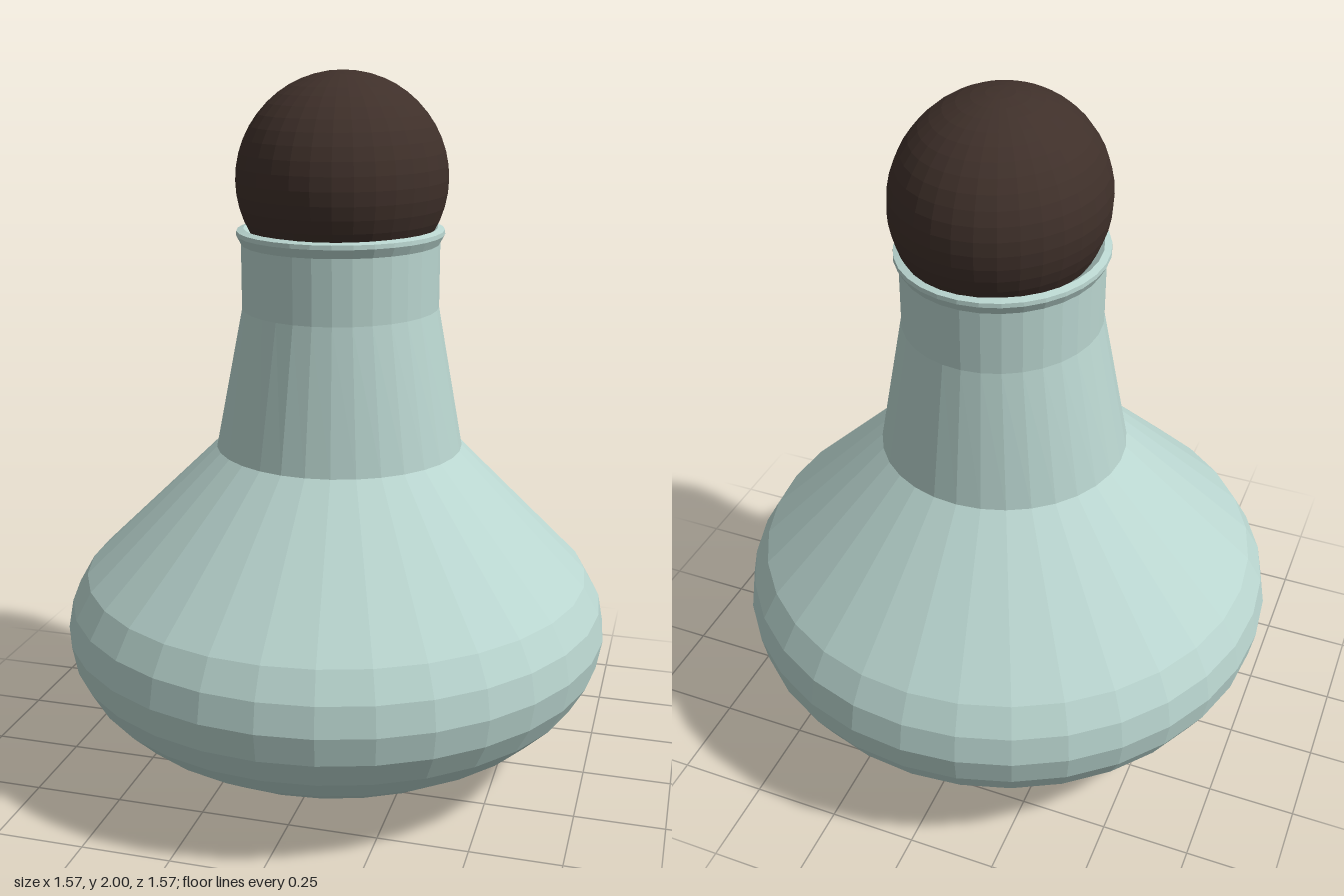
import * as THREE from 'three';

const SIDES = 32;

// Lathe whose upper rings drift off axis and widen slightly front to back.
function flaskPart(name, points, material) {
  const geometry = new THREE.LatheGeometry(points.map(([r, y]) => new THREE.Vector2(r, y)), SIDES);
  const pos = geometry.attributes.position;
  for (let i = 0; i < pos.count; i++) {
    const y = pos.getY(i);
    const drift = THREE.MathUtils.clamp((y - 0.586) / 0.369, 0, 1);
    const widen = THREE.MathUtils.clamp((y - 0.955) / 0.4, 0, 1);
    pos.setX(i, pos.getX(i) + 0.006 * drift + 0.004 * widen);
    pos.setZ(i, pos.getZ(i) * (1 + 0.07 * widen) - 0.01 * drift);
  }
  geometry.computeVertexNormals();
  const mesh = new THREE.Mesh(geometry, material);
  mesh.name = name;
  return mesh;
}

export function createModel() {
  const group = new THREE.Group();
  group.name = 'stopperedFlask';
  const glass = new THREE.MeshStandardMaterial({ color: 0xb9d5cf, flatShading: true, side: THREE.DoubleSide });
  const cork = new THREE.MeshStandardMaterial({ color: 0x3f302a, flatShading: true });

  // Squashed round belly, then a straight shoulder up to the neck
  const belly = [];
  for (let i = 0; i <= 10; i++) {
    const a = (i / 16) * Math.PI;
    belly.push([0.785 * Math.sin(a), 0.425 - 0.42 * Math.cos(a)]);
  }
  belly.push([0.352, 0.955]);
  group.add(flaskPart('belly', belly, glass));

  // Tapered neck with a straight collar
  group.add(flaskPart('neck', [[0.352, 0.955], [0.275, 1.355], [0.275, 1.535]], glass));

  // Flared lip turning inwards around the stopper
  group.add(flaskPart('lip', [[0.275, 1.535], [0.288, 1.56], [0.287, 1.572], [0.268, 1.578], [0.245, 1.56]], glass));

  // Ball stopper seated in the mouth
  const stopper = new THREE.Mesh(new THREE.SphereGeometry(0.29, SIDES, 24), cork);
  stopper.name = 'stopper';
  stopper.scale.z = 1.128;
  stopper.position.set(0.015, 1.71, -0.01);
  group.add(stopper);

  return group;
}
